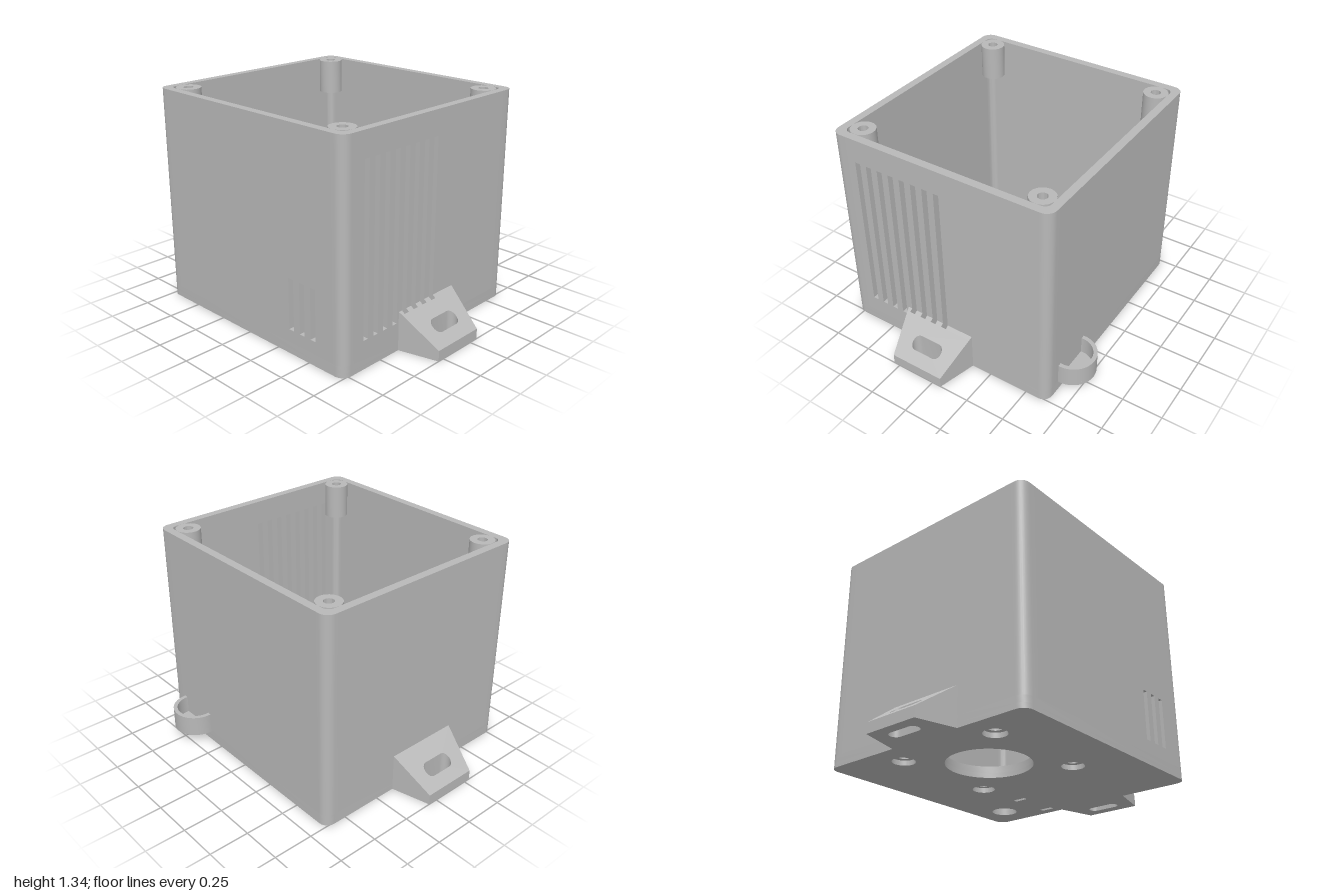
import * as THREE from 'three';
import { toCreasedNormals } from 'three/addons/utils/BufferGeometryUtils.js';

const HX = 0.76, HZ = 0.72, ZC = 0.075;   // outer half sizes and z centre of the box
const WALL = 0.05, R = 0.06, RIN = 0.04, END = 0.1;
const FLOOR = 0.07, TOP = 1.34;

export function createModel() {
  const group = new THREE.Group();
  const plastic = new THREE.MeshStandardMaterial({ color: 0xb8b8b8 });
  plastic.name = 'grey plastic';

  const add = (name, geometry) => {
    const mesh = new THREE.Mesh(toCreasedNormals(geometry, 0.6), plastic);
    mesh.name = name;
    group.add(mesh);
    return mesh;
  };
  const shapeOf = (pts) => new THREE.Shape(pts.map(([x, y]) => new THREE.Vector2(x, y)));
  const rect = (x0, x1, y0, y1) => shapeOf([[x0, y0], [x1, y0], [x1, y1], [x0, y1]]);
  const disc = (x, y, r) => new THREE.Shape().absarc(x, y, r, 0, Math.PI * 2, false);
  const extrude = (shape, depth) =>
    new THREE.ExtrudeGeometry(shape, { depth, bevelEnabled: false, curveSegments: 24 });
  // Plan shape in (x, z), raised from y0 to y1
  const prism = (shape, y0, y1) =>
    extrude(shape, y1 - y0).rotateX(Math.PI / 2).translate(0, y1, 0);
  const arc = (cx, cy, r, a0, a1, n = 8) => Array.from({ length: n + 1 }, (_, i) => {
    const a = a0 + (a1 - a0) * i / n;
    return [cx + r * Math.cos(a), cy + r * Math.sin(a)];
  });

  // Floor in two layers, the lower one with wider screw recesses
  const corners = [[1, 1], [-1, 1], [-1, -1], [1, -1]];
  const floor = (name, y0, y1, screwRadius) => {
    const shape = shapeOf(corners.flatMap(([sx, sz], i) =>
      arc(sx * (HX - R), ZC + sz * (HZ - R), R, i * Math.PI / 2, (i + 1) * Math.PI / 2)));
    shape.holes.push(disc(-0.24, 0.113, 0.25), disc(0.555, -0.445, 0.08));
    for (const x of [-0.578, 0.097])
      for (const z of [-0.225, 0.45]) shape.holes.push(disc(x, z, screwRadius));
    for (const x of [0.41, 0.685])
      shape.holes.push(rect(x - 0.015, x + 0.015, -0.235, -0.15));
    add(name, prism(shape, y0, y1));
  };
  floor('floorUnderside', 0, 0.03, 0.068);
  floor('floorTop', 0.03, FLOOR, 0.04);

  // Rounded corner pillars of the wall
  const profile = [
    ...arc(R, R, R, Math.PI, Math.PI * 1.5),
    [END, 0], [END, WALL],
    ...arc(WALL + RIN, WALL + RIN, RIN, Math.PI * 1.5, Math.PI),
    [WALL, END], [0, END],
  ];
  for (const [sx, sz] of corners) {
    const shape = shapeOf(profile.map(([u, v]) => [sx * (HX - u), ZC + sz * (HZ - v)]));
    add('wallCorner', prism(shape, FLOOR, TOP));
  }

  // Flat wall panels, two of them with vent slots
  const panel = (half, centre, slots, width, y0, y1) => {
    const shape = rect(centre - half + END, centre + half - END, FLOOR, TOP);
    for (const s of slots) shape.holes.push(rect(s - width / 2, s + width / 2, y0, y1));
    return extrude(shape, WALL);
  };
  const sideSlots = Array.from({ length: 8 }, (_, i) => 0.072 + i * 0.0785);
  add('frontWall', panel(HX, 0, [0.365, 0.45, 0.535], 0.038, 0.15, 0.46)
    .translate(0, 0, ZC + HZ - WALL));
  add('backWall', panel(HX, 0, []).translate(0, 0, ZC - HZ));
  add('leftWall', panel(HZ, -ZC, sideSlots.map((z) => -z), 0.036, 0.175, 1.19)
    .rotateY(Math.PI / 2).translate(HX - WALL, 0, 0));
  add('rightWall', panel(HZ, -ZC, []).rotateY(Math.PI / 2).translate(-HX, 0, 0));

  // Screw posts with blind holes in the upper corners
  const post = [[0, 1.125], [0.075, 1.125], [0.075, TOP], [0.03, TOP], [0.03, 1.16], [0, 1.16]]
    .map(([x, y]) => new THREE.Vector2(x, y));
  for (const x of [-0.635, 0.635])
    for (const z of [-0.52, 0.67])
      add('screwPost', new THREE.LatheGeometry(post, 32)).position.set(x, 0, z);

  // Sloped mounting tabs: plan shape raised to a height that falls with x
  const slope = (x) => 0.24 - 0.175 * (Math.abs(x) - HX) / 0.24;
  const halfWidth = (x) => 0.237 - 0.062 * (x - HX) / 0.24;
  const tab = (name, shape, cap = 1) => {
    const geometry = prism(shape, 0, 1);
    const p = geometry.attributes.position;
    for (let i = 0; i < p.count; i++) p.setY(i, p.getY(i) * Math.min(slope(p.getX(i)), cap));
    add(name, geometry);
  };
  const TZ = 0.115, NOTCH = 0.78;
  for (const side of [-1, 1]) {
    const x0 = side > 0 ? NOTCH : HX;
    const a = halfWidth(x0), b = halfWidth(1);
    const shape = shapeOf([[x0, TZ - a], [1, TZ - b], [1, TZ + b], [x0, TZ + a]]
      .map(([x, z]) => [side * x, z]));
    shape.holes.push(shapeOf([
      ...arc(side * 0.896, 0.178, 0.037, 0, Math.PI, 12),
      ...arc(side * 0.896, 0.046, 0.037, Math.PI, Math.PI * 2, 12),
    ]));
    tab('mountingTab', shape);
  }
  // Root of the slotted-side tab, notched where the vents run into it
  const w0 = halfWidth(HX), w1 = halfWidth(NOTCH);
  const cuts = sideSlots.slice(0, 4).flatMap((z) => [z - 0.018, z + 0.018]);
  const inner = [TZ - w0, ...cuts, TZ + w0], outer = [TZ - w1, ...cuts, TZ + w1];
  for (let i = 0; i < inner.length - 1; i++) {
    const piece = shapeOf([[HX, inner[i]], [NOTCH, outer[i]],
      [NOTCH, outer[i + 1]], [HX, inner[i + 1]]]);
    tab('tabRoot', piece, i % 2 ? 0.175 : 1);
  }

  // Round cup on the back wall
  const CX = 0.495, CZ = -0.655;
  const a0 = Math.PI - 0.25, a1 = Math.PI * 2 + 0.25;
  add('cupRim', prism(shapeOf([
    ...arc(CX, CZ, 0.145, a0, a1, 32), ...arc(CX, CZ, 0.12, a1, a0, 32),
  ]), 0.065, 0.195));
  add('cupBase', prism(disc(CX, CZ, 0.145), 0.065, 0.085));

  // Two shallow trays on the floor
  for (const [z0, z1] of [[-0.45, 0.08], [0.165, 0.655]]) {
    add('trayBase', prism(rect(0.285, 0.71, z0, z1), FLOOR, 0.085));
    const rim = rect(0.285, 0.71, z0, z1);
    rim.holes.push(rect(0.305, 0.685, z0 + 0.02, z1 - 0.02));
    add('trayRim', prism(rim, 0.085, 0.12));
  }
  return group;
}
